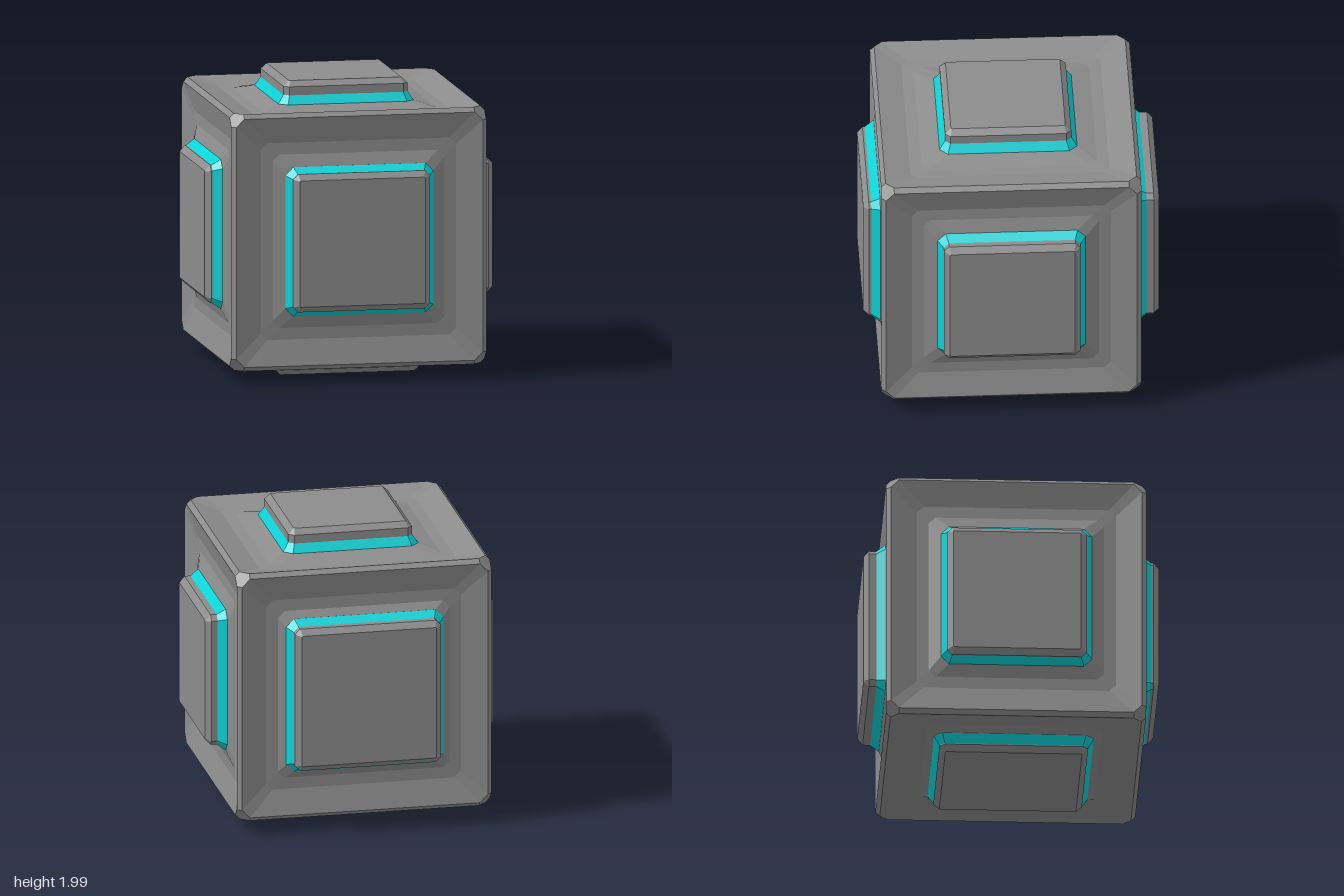
import * as THREE from 'three';

const grey = new THREE.MeshStandardMaterial({ color: 0x8c8c8c });
const teal = new THREE.MeshStandardMaterial({ color: 0x0ad2d6 });

// Square with cut corners, counterclockwise seen from +z
function ring([half, cut, z]) {
  const a = half, b = half - cut;
  return [[a, -b], [a, b], [b, a], [-b, a], [-a, b], [-a, -b], [-b, -a], [b, -a]]
    .map(([x, y]) => [x, y, z]);
}

// Flat-faced skin over a row of rings, each given as [half width, corner cut, height]
function loft(profile, { cap = false, extra = [] } = {}) {
  const rings = profile.map(ring);
  const out = [...extra];
  for (let r = 0; r + 1 < rings.length; r++) {
    const p = rings[r], q = rings[r + 1];
    for (let i = 0; i < 8; i++) {
      const j = (i + 1) % 8;
      out.push(p[i], p[j], q[j], p[i], q[j], q[i]);
    }
  }
  if (cap) {
    const last = rings[rings.length - 1];
    const centre = [0, 0, profile[profile.length - 1][2]];
    for (let i = 0; i < 8; i++) out.push(centre, last[i], last[(i + 1) % 8]);
  }
  const geo = new THREE.BufferGeometry();
  geo.setAttribute('position', new THREE.Float32BufferAttribute(out.flat(), 3));
  geo.computeVertexNormals();
  return geo;
}

function mesh(name, geo, material) {
  const m = new THREE.Mesh(geo, material);
  m.name = name;
  return m;
}

// One side of the cube: half of each edge bevel, the sunken frame and the ramp up to the collar
function panelGeometry(collarHalf) {
  const edge = [0.86, 0.07, 0.86];
  const c = 2.51 / 3;
  const pts = ring(edge);
  const corners = [];
  for (const i of [1, 3, 5, 7]) {
    const p = pts[i], q = pts[(i + 1) % 8];
    corners.push(p, [Math.sign(p[0]) * c, Math.sign(p[1]) * c, c], q);
  }
  return loft([
    edge,
    [0.845, 0.055, 0.875],
    [0.67, 0.045, 0.83],
    [0.59, 0.045, 0.833],
    [collarHalf, 0.055, 0.866],
    [collarHalf - 0.06, 0.055, 0.866],
  ], { extra: corners });
}

// Raised plate: grey block on a flared teal collar
function plate(half, collarHalf, top, end) {
  const g = new THREE.Group();
  g.name = 'raisedPlate';
  g.add(mesh('collar', loft([
    [collarHalf, 0.055, 0.8],
    [collarHalf, 0.055, 0.868],
    [half, 0.035, top],
  ]), teal));
  g.add(mesh('plateBlock', loft([
    [half, 0.035, top],
    [half, 0.035, end - 0.037],
    [half - 0.04, 0.006, end],
  ], { cap: true }), grey));
  return g;
}

export function createModel() {
  const model = new THREE.Group();
  model.name = 'panelledCube';
  const h = Math.PI / 2;
  // name, rotation x, rotation y, plate half width, collar top, plate end
  const sides = [
    ['front', 0, 0, 0.47, 0.925, 0.978],
    ['back', 0, Math.PI, 0.502, 0.925, 1.012],
    ['left', 0, h, 0.46, 0.925, 1.003],
    ['right', 0, -h, 0.47, 0.927, 0.973],
    ['top', -h, 0, 0.425, 0.925, 1.02],
    ['bottom', h, 0, 0.5, 0.925, 0.97],
  ];
  for (const [name, rx, ry, half, top, end] of sides) {
    const collarHalf = half + 0.038;
    const side = new THREE.Group();
    side.name = name + 'Side';
    side.rotation.set(rx, ry, 0);
    side.position.set(-0.017, 0.97, 0.016);
    side.add(
      mesh('framePanel', panelGeometry(collarHalf), grey),
      plate(half, collarHalf, top, end),
    );
    model.add(side);
  }
  return model;
}
